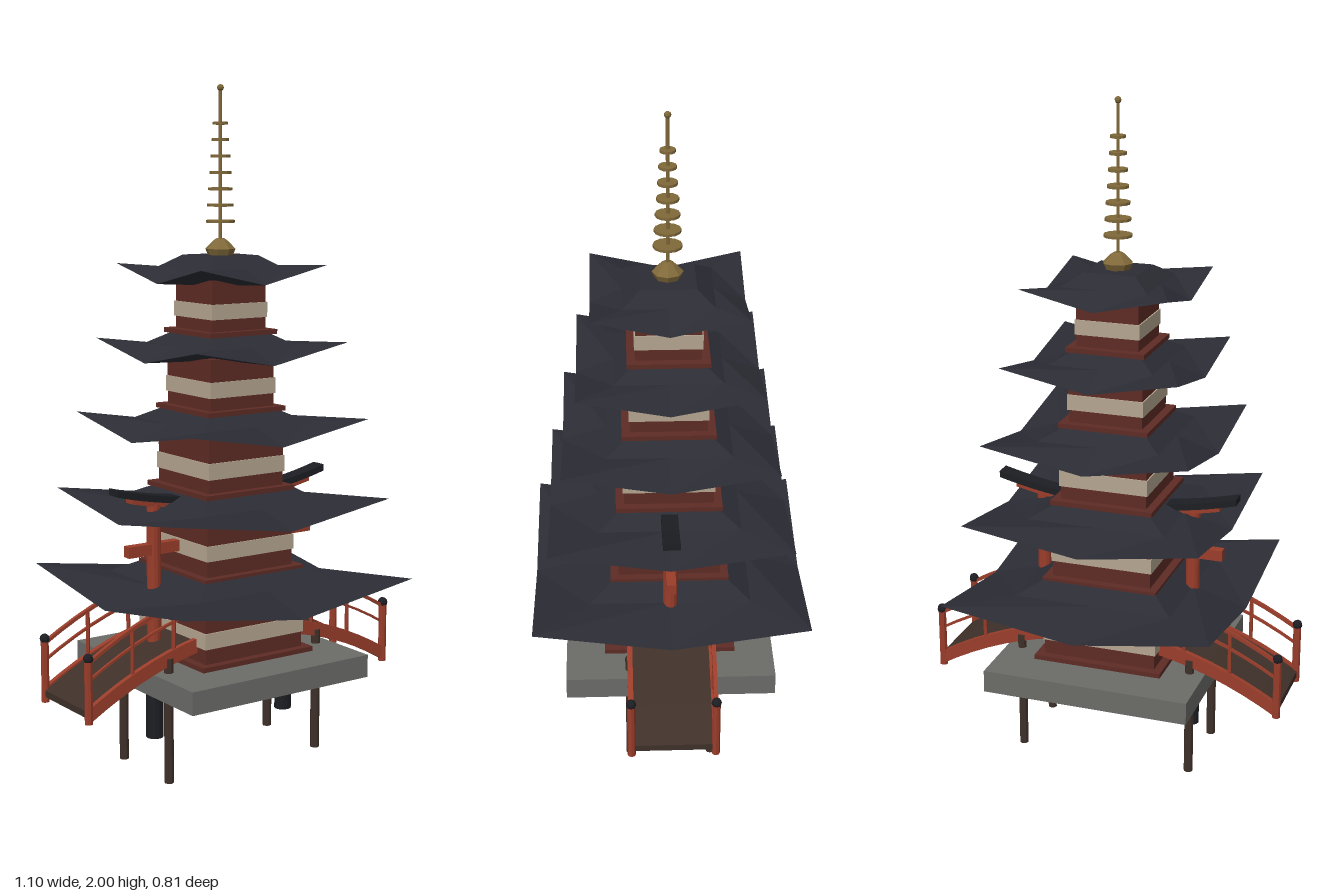
import * as THREE from 'three';

const mat = (color, flatShading = true) => new THREE.MeshStandardMaterial({ color, flatShading });
const M = {
  roof: mat(0x2b2c34), wall: mat(0x5e2b25), cream: mat(0xb5a590), red: mat(0x9a3d2a),
  black: mat(0x1d1e23), stone: mat(0x6b6b68), wood: mat(0x3f3029), gold: mat(0x80693a), lamp: mat(0xb8b0a2),
};

function add(parent, name, geo, material, x = 0, y = 0, z = 0) {
  const m = new THREE.Mesh(geo, material);
  m.name = name;
  m.position.set(x, y, z);
  parent.add(m);
  return m;
}
// box given by full width and depth, between two heights
const slab = (p, name, w, d, y0, y1, material, x = 0, z = 0) =>
  add(p, name, new THREE.BoxGeometry(w, y1 - y0, d), material, x, (y0 + y1) / 2, z);
// upright cylinder between two heights
const post = (p, name, r, y0, y1, material, x, z, sides = 8) =>
  add(p, name, new THREE.CylinderGeometry(r, r, y1 - y0, sides), material, x, (y0 + y1) / 2, z);

// roof of three square rings: eave with lifted corners, mid slope, flat top; shallow cone beneath
function roofGeometry(half, yCorner, yMid, yBottom, yTop, topHalf) {
  const dirs = [[-1, -1], [-1, 0], [-1, 1], [0, 1], [1, 1], [1, 0], [1, -1], [0, -1]];
  const midHalf = half * 0.59;
  const ySlope = yMid + (yTop - yMid) * 0.55;
  const pos = [], idx = [];
  const ring = (h, y) => dirs.forEach(([x, z], i) => pos.push(x * h, y(i), z * h));
  ring(half, i => (i % 2 ? yMid : yCorner));
  ring(midHalf, () => ySlope);
  ring(topHalf, () => yTop);
  pos.push(0, yTop, 0, 0, yBottom, 0);
  for (let i = 0; i < 8; i++) {
    const j = (i + 1) % 8;
    for (const b of [0, 8]) idx.push(b + i, b + j, b + 8 + j, b + i, b + 8 + j, b + 8 + i);
    idx.push(16 + i, 16 + j, 24, j, i, 25);
  }
  const g = new THREE.BufferGeometry();
  g.setAttribute('position', new THREE.Float32BufferAttribute(pos, 3));
  g.setIndex(idx);
  const flat = g.toNonIndexed();
  flat.computeVertexNormals();
  return flat;
}

// strip following a curve y = f(x), with given height and z width
function archGeometry(f, x0, x1, height, width, n = 20) {
  const s = new THREE.Shape();
  const at = i => x0 + (x1 - x0) * i / n;
  for (let i = 0; i <= n; i++) s[i ? 'lineTo' : 'moveTo'](at(i), f(at(i)) - height / 2);
  for (let i = n; i >= 0; i--) s.lineTo(at(i), f(at(i)) + height / 2);
  return new THREE.ExtrudeGeometry(s, { depth: width, bevelEnabled: false }).translate(0, 0, -width / 2);
}

function buildTower() {
  const g = new THREE.Group();
  g.name = 'tower';
  // body half, floor y, band y0, band y1, eave half, corner y, eave mid y, underside y, roof top y, roof top half
  const tiers = [
    [0.173, 0.34, 0.393, 0.44, 0.405, 0.568, 0.507, 0.497, 0.595, 0.165],
    [0.152, 0.59, 0.645, 0.69, 0.355, 0.806, 0.752, 0.744, 0.825, 0.143],
    [0.132, 0.83, 0.878, 0.926, 0.31, 1.04, 0.986, 0.977, 1.062, 0.12],
    [0.112, 1.065, 1.11, 1.156, 0.265, 1.263, 1.212, 1.203, 1.287, 0.1],
    [0.094, 1.29, 1.333, 1.377, 0.22, 1.485, 1.436, 1.422, 1.512, 0.079],
  ];
  tiers.forEach(([b, y, c0, c1, half, yc, ym, yb, yt, th], i) => {
    const t = new THREE.Group();
    t.name = 'tier' + (i + 1);
    g.add(t);
    slab(t, 'floor', 2 * b + 0.05, 2 * b + 0.05, y - 0.006, y + 0.008, M.wall);
    slab(t, 'walls', 2 * b, 2 * b, y, ym + 0.01, M.wall);
    slab(t, 'plasterBand', 2 * b + 0.008, 2 * b + 0.008, c0, c1, M.cream);
    add(t, 'roof', roofGeometry(half, yc, ym, yb, yt, th), M.roof);
  });
  return g;
}

function buildSpire() {
  const g = new THREE.Group();
  g.name = 'spire';
  const profile = [[0, 1.505], [0.036, 1.51], [0.045, 1.53], [0.022, 1.553], [0.012, 1.56], [0, 1.56]];
  add(g, 'spireBase', new THREE.LatheGeometry(profile.map(p => new THREE.Vector2(...p)), 8), M.gold);
  post(g, 'spirePole', 0.005, 1.55, 1.985, M.gold, 0, 0);
  for (let i = 0; i < 7; i++) {
    const r = 0.042 - i * 0.0033;
    add(g, 'spireRing', new THREE.CylinderGeometry(r, r, 0.008, 12), M.gold, 0, 1.609 + i * 0.0467, 0);
  }
  add(g, 'spireBall', new THREE.SphereGeometry(0.01, 8, 6), M.gold, 0, 1.99, 0);
  return g;
}

function buildBridge() {
  const g = new THREE.Group();
  g.name = 'archedBridge';
  const arch = lift => x => 0.413 + lift - 0.56 * x * x;
  add(g, 'deck', archGeometry(arch(0.005), -0.54, 0.54, 0.02, 0.25), M.wood);
  for (const z of [-0.123, 0.123]) {
    add(g, 'stringer', archGeometry(arch(0), -0.54, 0.54, 0.042, 0.016), M.red, 0, 0, z);
    add(g, 'topRail', archGeometry(arch(0.152), -0.54, 0.54, 0.011, 0.012), M.red, 0, 0, z);
    add(g, 'midRail', archGeometry(arch(0.1), -0.54, 0.54, 0.008, 0.008), M.red, 0, 0, z);
    for (const s of [-1, 1]) {
      post(g, 'endPost', 0.012, 0.228, 0.41, M.red, s * 0.535, z);
      add(g, 'finial', new THREE.SphereGeometry(0.015, 8, 6), M.black, s * 0.535, 0.417, z);
      for (const x of [0.39, 0.25]) post(g, 'railPost', 0.006, arch(0)(x), arch(0.152)(x), M.red, s * x, z, 6);
      post(g, 'pile', 0.014, 0, arch(0)(0.268), M.wood, s * 0.268, z);
    }
  }
  return g;
}

function buildGate() {
  const g = new THREE.Group();
  g.name = 'gate';
  for (const x of [-0.237, 0.237]) {
    post(g, 'gatePost', 0.021, 0.25, 0.8, M.red, x, 0, 12);
    post(g, 'gateFoot', 0.026, 0.098, 0.3, M.black, x, 0, 12);
  }
  slab(g, 'tieBeam', 0.66, 0.028, 0.652, 0.685, M.red);
  const curve = y => x => y + 0.36 * x * x;
  add(g, 'lowerLintel', archGeometry(curve(0.785), -0.32, 0.32, 0.022, 0.036), M.red);
  add(g, 'upperLintel', archGeometry(curve(0.798), -0.372, 0.372, 0.02, 0.05), M.black);
  return g;
}

export function createModel() {
  const g = new THREE.Group();
  g.name = 'pagoda';
  slab(g, 'stoneBase', 0.63, 0.63, 0.262, 0.33, M.stone);
  add(g, 'undersideDisc', new THREE.CylinderGeometry(0.135, 0.105, 0.014, 16), M.stone, 0, 0.257, 0);
  // hanging ornament below the base
  const lamp = add(g, 'hangingLantern', new THREE.SphereGeometry(0.026, 8, 6), M.lamp, 0, 0.184, 0);
  lamp.scale.y = 1.25;
  g.add(buildTower(), buildSpire(), buildBridge(), buildGate());
  return g;
}
